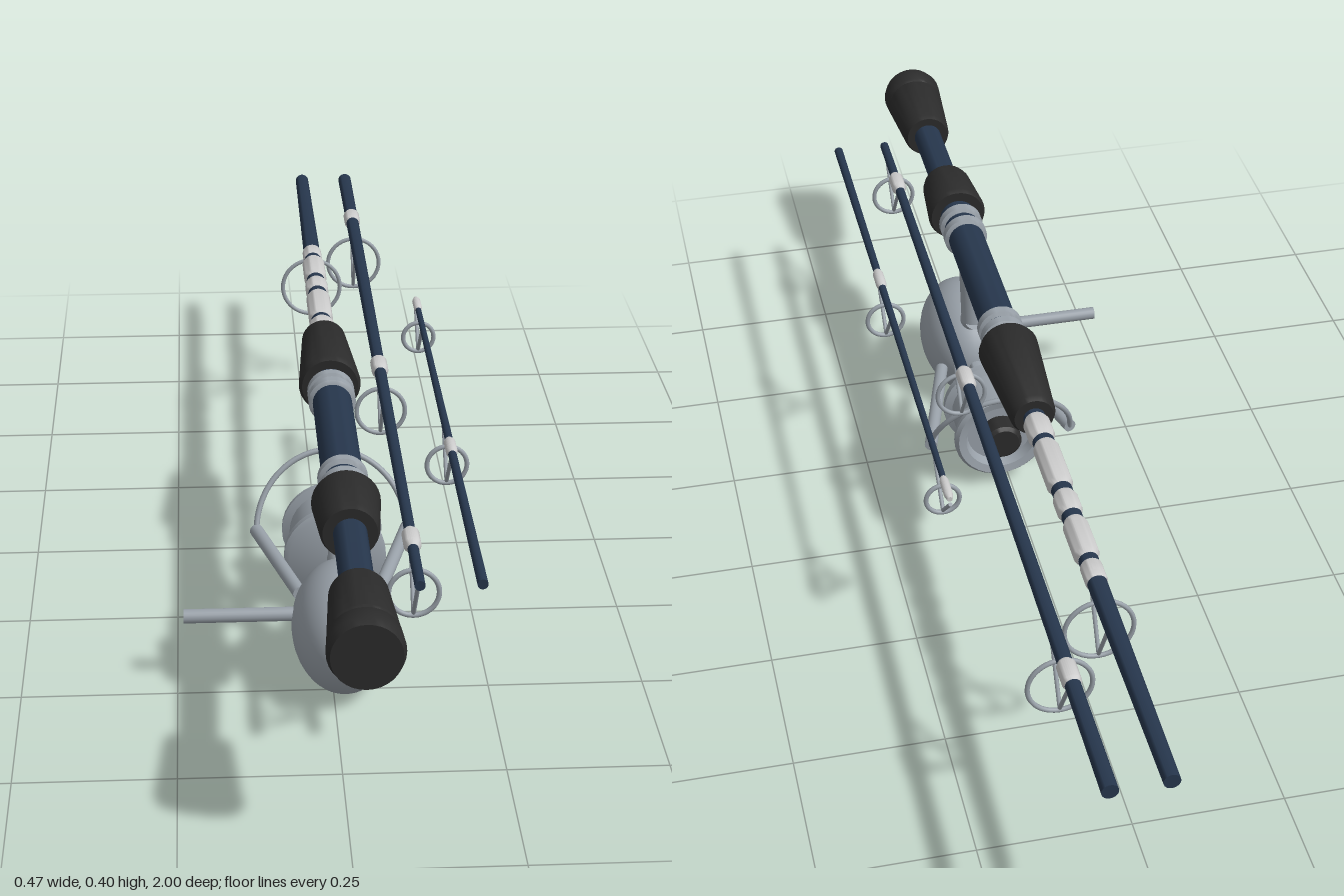
import * as THREE from 'three';
import { toCreasedNormals } from 'three/addons/utils/BufferGeometryUtils.js';

const mat = (color) => new THREE.MeshStandardMaterial({ color, side: THREE.DoubleSide });
const V = (x, y, z) => new THREE.Vector3(x, y, z);

export function createModel() {
  const model = new THREE.Group();
  const navy = mat(0x26364c), foam = mat(0x2b2b2b), metal = mat(0x98a0a8), wrapMat = mat(0xcccccc);
  const X = 0.017, Y = 0.35;

  const add = (parent, name, geometry, material) => {
    const mesh = new THREE.Mesh(geometry, material);
    mesh.name = name;
    parent.add(mesh);
    return mesh;
  };
  // solid turned about a z-parallel axis; profile is [z, radius] with z ascending
  const turned = (parent, name, material, x, y, profile, closed = true) => {
    const pts = profile.map(([z, r]) => new THREE.Vector2(r, z));
    if (closed) {
      pts.unshift(new THREE.Vector2(0, profile[0][0]));
      pts.push(new THREE.Vector2(0, profile[profile.length - 1][0]));
    }
    const g = toCreasedNormals(new THREE.LatheGeometry(pts, 32).rotateX(Math.PI / 2), 0.7);
    return add(parent, name, g.translate(x, y, 0), material);
  };
  // straight round bar between two points
  const bar = (parent, name, material, a, b, r0, r1 = r0, sides = 20) => {
    const d = b.clone().sub(a);
    const mesh = add(parent, name, new THREE.CylinderGeometry(r1, r0, d.length(), sides), material);
    mesh.position.copy(a).addScaledVector(d, 0.5);
    mesh.quaternion.setFromUnitVectors(V(0, 1, 0), d.normalize());
    return mesh;
  };
  const group = (name) => {
    const g = new THREE.Group();
    g.name = name;
    model.add(g);
    return g;
  };

  // Handle section
  const handle = group('handleSection');
  turned(handle, 'mainBlank', navy, X, Y, [[-1, 0.013], [-0.55, 0.016], [-0.13, 0.019]]);
  turned(handle, 'rearBlank', navy, X, Y, [[0.5, 0.026], [0.85, 0.026]]);
  turned(handle, 'reelSeat', navy, X, Y, [[0.05, 0.033], [0.53, 0.033]]);
  turned(handle, 'buttGrip', foam, X, Y,
    [[0.815, 0.04], [0.825, 0.044], [0.945, 0.053], [0.95, 0.051], [0.955, 0.054], [0.985, 0.056], [1, 0.051]]);
  turned(handle, 'rearGrip', foam, X, Y, [[0.515, 0.05], [0.525, 0.054], [0.62, 0.046], [0.632, 0.042]]);
  turned(handle, 'foreGrip', foam, X, Y, [[-0.132, 0.034], [-0.122, 0.039], [0.07, 0.053], [0.082, 0.048]]);
  for (const z of [0.108, 0.138, 0.445, 0.485]) {
    turned(handle, 'seatRing', metal, X, Y,
      [[z - 0.012, 0.034], [z - 0.008, 0.04], [z + 0.008, 0.04], [z + 0.012, 0.034]]);
  }
  for (const [a, b, r] of [[-0.2, -0.14, 0.023], [-0.33, -0.21, 0.022], [-0.4, -0.345, 0.021],
    [-0.51, -0.415, 0.021], [-0.565, -0.525, 0.018]]) {
    turned(handle, 'decorativeWrap', wrapMat, X, Y,
      [[a, r * 0.8], [a + 0.012, r], [b - 0.012, r], [b, r * 0.8]]);
  }

  // Spare sections
  const spare = group('spareSections');
  turned(spare, 'middleSection', navy, 0.107, Y, [[-1, 0.013], [0.8, 0.008]]);
  turned(spare, 'tipSection', navy, 0.198, Y, [[-0.31, 0.005], [0.8, 0.008]]);

  // Line guides: ring hung under the blank on two slanted legs
  const guides = group('lineGuides');
  const guide = (x, z, R, wrapZ, wrapR) => {
    const t = 0.004, cy = 0.332 - R;
    add(guides, 'guideRing', new THREE.TorusGeometry(R - t, t, 10, 40).translate(x, cy, z), metal);
    for (const s of [-1, 1]) {
      bar(guides, 'guideLeg', metal, V(x, Y - 0.008, z + s * 0.068), V(x, cy - R + 2 * t, z), 0.0035, 0.0035, 8);
    }
    turned(guides, 'guideWrap', wrapMat, x, Y, [[wrapZ - 0.03, wrapR * 0.6], [wrapZ - 0.018, wrapR],
      [wrapZ + 0.018, wrapR], [wrapZ + 0.03, wrapR * 0.6]]);
  };
  guide(X, -0.585, 0.06, -0.545, 0.018);
  guide(0.107, -0.7, 0.055, -0.755, 0.0155);
  guide(0.107, 0.045, 0.046, 0, 0.0145);
  guide(0.107, 0.71, 0.042, 0.655, 0.0135);
  guide(0.198, 0.285, 0.037, 0.335, 0.0095);
  guide(0.198, -0.25, 0.032, -0.285, 0.0075);

  // Reel body, foot and crank
  const reel = group('reel');
  const ry = 0.105;
  add(reel, 'reelBody', new THREE.SphereGeometry(1, 40, 28).scale(0.083, 0.104, 0.123)
    .translate(X, 0.106, 0.477), metal);
  add(reel, 'reelFoot', new THREE.BoxGeometry(0.03, 0.014, 0.22).translate(X, 0.311, 0.295), metal);
  bar(reel, 'reelStem', metal, V(X, 0.21, 0.372), V(X, 0.318, 0.385), 0.024);
  bar(reel, 'stemNeck', metal, V(X, 0.17, 0.43), V(X, 0.215, 0.365), 0.02);
  bar(reel, 'crankHandle', metal, V(X - 0.04, 0.123, 0.465), V(-0.238, 0.123, 0.465), 0.0115);

  // Spool with flanges, recessed face and drag knob
  turned(reel, 'spoolShaft', metal, X, ry + 0.005, [[0.2, 0.014], [0.4, 0.014]]);
  turned(reel, 'spool', metal, X, ry + 0.005, [[0.15, 0.0], [0.15, 0.06], [0.133, 0.066], [0.13, 0.08],
    [0.137, 0.086], [0.145, 0.086], [0.15, 0.073], [0.228, 0.073], [0.234, 0.086], [0.247, 0.086],
    [0.252, 0.078], [0.252, 0]], false);
  turned(reel, 'dragKnob', foam, X, ry + 0.005, [[0.112, 0.028], [0.118, 0.034], [0.155, 0.036]]);

  // Bail: two arms and the tilted wire arch
  for (const s of [-1, 1]) {
    bar(reel, 'bailArm', metal, V(X + s * 0.065, ry + 0.003, 0.37), V(X + s * 0.13, ry + 0.003, 0.14), 0.0115);
  }
  const arch = [];
  for (let i = 0; i <= 16; i++) {
    const a = (i / 16) * Math.PI;
    arch.push(V(X + 0.13 * Math.cos(a), ry + 0.127 * Math.sin(a), 0.145 - 0.062 * Math.sin(a)));
  }
  add(reel, 'bailWire', new THREE.TubeGeometry(new THREE.CatmullRomCurve3(arch), 48, 0.005, 10), metal);

  return model;
}
